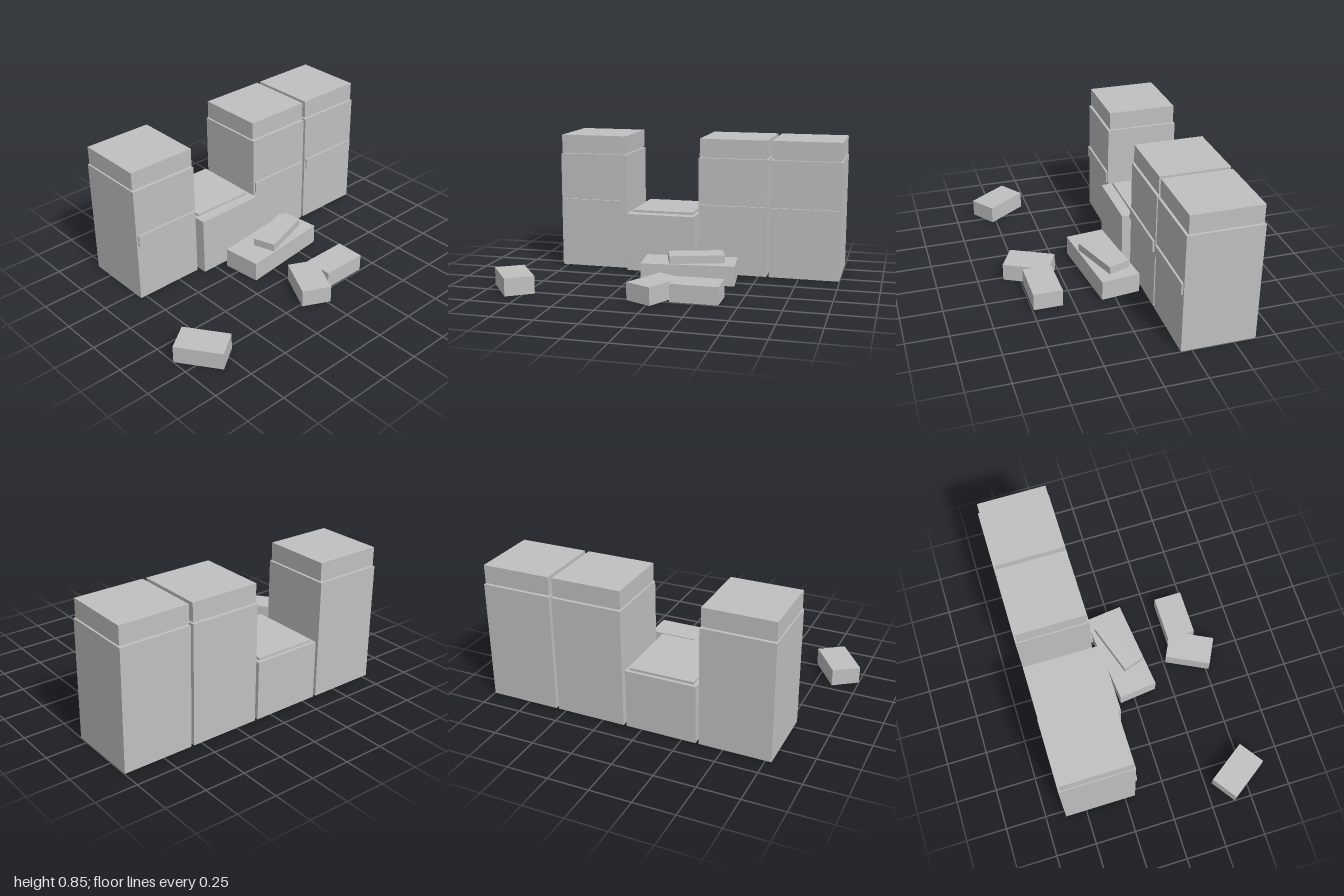
import * as THREE from 'three';

export function createModel() {
  const model = new THREE.Group();
  const stone = new THREE.MeshStandardMaterial({ color: 0xc0c0c0 });
  stone.name = 'grey stone';

  // Box resting at height y0, reaching y1, turned about the vertical axis
  function block(parent, name, [w, d], [y0, y1], [x, z], turn = 0) {
    const mesh = new THREE.Mesh(new THREE.BoxGeometry(w, y1 - y0, d), stone);
    mesh.name = name;
    mesh.position.set(x, (y0 + y1) / 2, z);
    mesh.rotation.y = turn;
    parent.add(mesh);
  }

  // Three intact pillars: shaft, recessed neck, cap and raised front band
  for (const x of [-0.57, 0.333, 0.782]) {
    const pillar = new THREE.Group();
    pillar.name = 'pillar';
    pillar.position.x = x;
    block(pillar, 'shaft', [0.432, 0.444], [0, 0.729], [0, -0.408]);
    block(pillar, 'neck', [0.398, 0.405], [0.729, 0.736], [0, -0.408]);
    block(pillar, 'cap', [0.424, 0.422], [0.736, 0.847], [0, -0.408]);
    block(pillar, 'band', [0.41, 0.03], [0.366, 0.437], [0, -0.189]);
    model.add(pillar);
  }

  // Broken pillar stump with a thin top plate
  const stump = new THREE.Group();
  stump.name = 'stump';
  block(stump, 'stumpBase', [0.432, 0.493], [0, 0.364], [-0.119, -0.3835]);
  block(stump, 'stumpTop', [0.392, 0.405], [0.364, 0.379], [-0.119, -0.408]);
  model.add(stump);

  // Fallen slabs stacked in front of the stump
  block(model, 'fallenSlab', [0.568, 0.241], [0, 0.122], [0.106, -0.007], 0.113);
  block(model, 'smallSlab', [0.337, 0.142], [0.122, 0.17], [0.148, -0.003], 0.317);

  // Loose bricks
  const bricks = [[-0.845, 0.459, -0.957], [0.006, 0.43, 1.107], [0.248, 0.404, 0]];
  for (const [x, z, turn] of bricks) {
    block(model, 'looseBrick', [0.284, 0.177], [0, 0.106], [x, z], turn);
  }

  return model;
}
